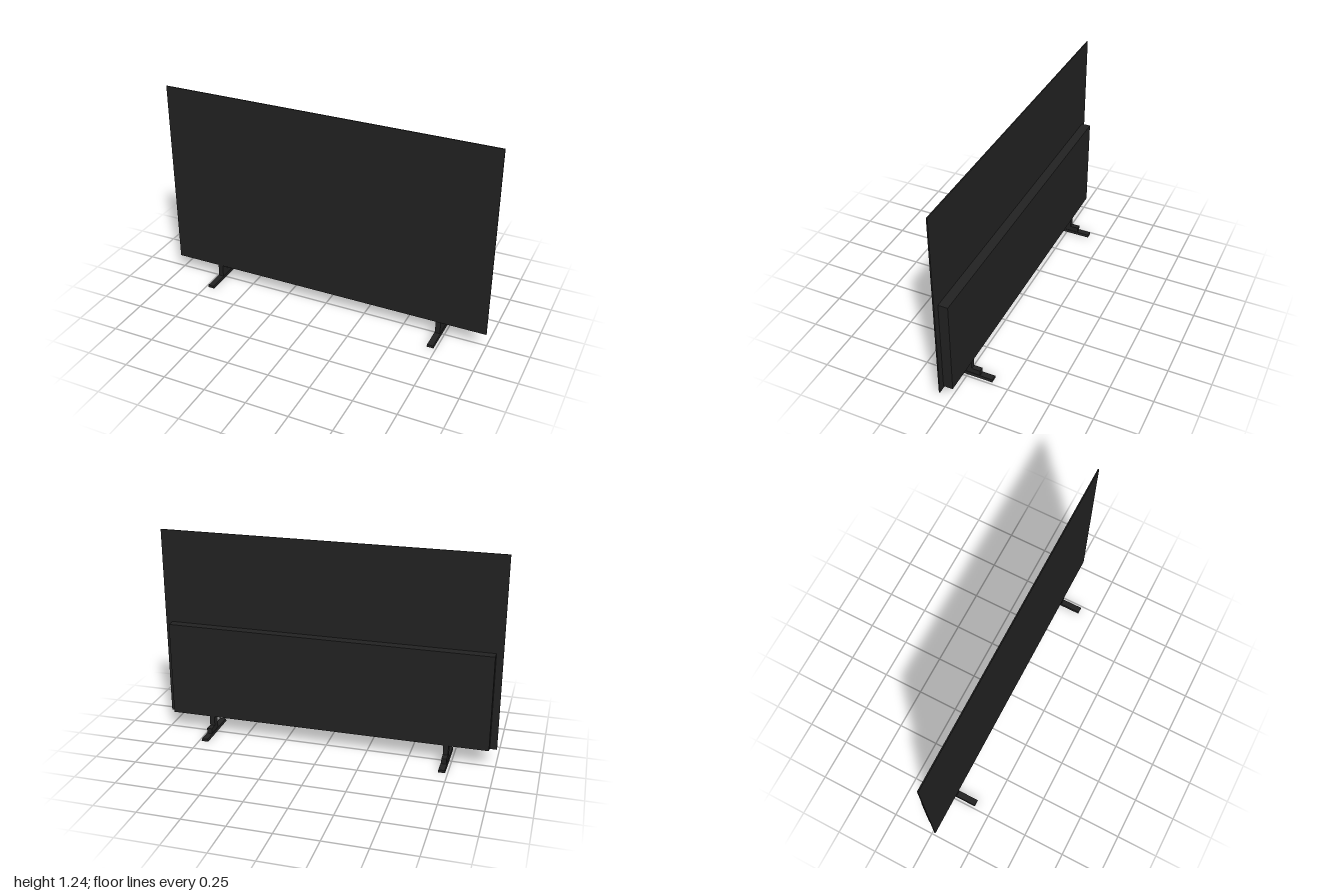
import * as THREE from 'three';

const black = new THREE.MeshStandardMaterial({ color: 0x222222 });
black.name = 'matte black';

// Box given by its lower and upper limits on each axis
function box(name, [x0, x1], [y0, y1], [z0, z1]) {
  const mesh = new THREE.Mesh(new THREE.BoxGeometry(x1 - x0, y1 - y0, z1 - z0), black);
  mesh.position.set((x0 + x1) / 2, (y0 + y1) / 2, (z0 + z1) / 2);
  mesh.name = name;
  return mesh;
}

// Floor bar with slightly sloping sides, running front to back
function footBar() {
  const shape = new THREE.Shape();
  shape.moveTo(-0.021, 0);
  shape.lineTo(0.021, 0);
  shape.lineTo(0.018, 0.016);
  shape.lineTo(-0.018, 0.016);
  shape.closePath();
  const geometry = new THREE.ExtrudeGeometry(shape, { depth: 0.3, bevelEnabled: false });
  geometry.translate(0, 0, -0.15);
  const mesh = new THREE.Mesh(geometry, black);
  mesh.name = 'footBar';
  return mesh;
}

// Stand leg: floor bar, upright post and rear brace
function leg(name, x) {
  const group = new THREE.Group();
  group.name = name;
  group.position.x = x;
  group.add(
    footBar(),
    box('post', [-0.015, 0.015], [0.014, 0.115], [-0.023, 0.025]),
    box('rearBrace', [-0.015, 0.015], [0.014, 0.048], [-0.073, -0.023]),
  );
  return group;
}

export function createModel() {
  const model = new THREE.Group();
  model.name = 'television';
  model.add(
    // Thin display panel and the deeper electronics housing behind it
    box('screenPanel', [-1, 1], [0.097, 1.243], [0.025, 0.032]),
    box('rearHousing', [-0.96, 0.96], [0.11, 0.681], [-0.03, 0.025]),
    leg('leftLeg', 0.715),
    leg('rightLeg', -0.715),
  );
  return model;
}
